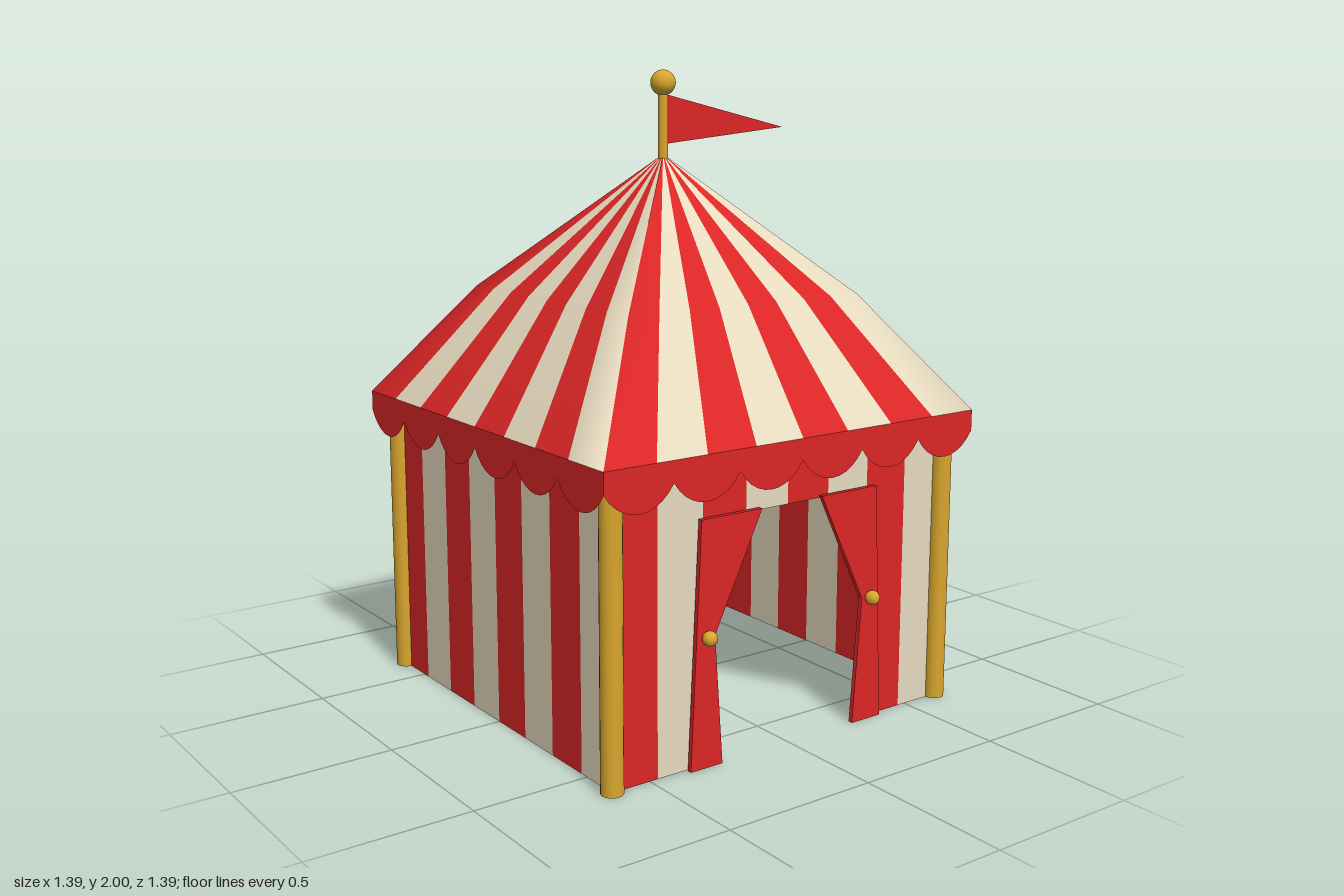
import * as THREE from 'three';

const mat = (name, color, side = THREE.FrontSide) => {
  const m = new THREE.MeshStandardMaterial({ color, side });
  m.name = name;
  return m;
};

export function createModel() {
  const red = mat('red canvas', 0xdc2626, THREE.DoubleSide);
  const cream = mat('cream canvas', 0xe8dcc0, THREE.DoubleSide);
  const gold = mat('gold', 0xd9a62e);

  const WALL = 0.63, EAVE = 0.695, EAVE_Y = 0.95, DOOR_Y = 0.74, STRIPES = 8;
  const tent = new THREE.Group();
  tent.name = 'tent';

  const add = (parent, name, geometry, material, x = 0, y = 0, z = 0) => {
    const mesh = new THREE.Mesh(geometry, material);
    mesh.name = name;
    mesh.position.set(x, y, z);
    parent.add(mesh);
    return mesh;
  };

  // Striped wall; the front one leaves the middle four stripes open as a doorway
  const makeWall = (parent, hasDoor) => {
    const w = 2 * WALL / STRIPES;
    for (let i = 0; i < STRIPES; i++) {
      const bottom = hasDoor && i >= 2 && i <= 5 ? DOOR_Y : 0;
      const h = EAVE_Y - bottom;
      add(parent, 'wallStripe', new THREE.PlaneGeometry(w, h), i % 2 ? cream : red,
        -WALL + (i + 0.5) * w, bottom + h / 2, WALL);
    }
  };

  // Scalloped valance hanging from the eave
  const valance = new THREE.Shape();
  const scallops = 6, sw = 2 * EAVE / scallops;
  valance.moveTo(-EAVE, EAVE_Y);
  valance.lineTo(-EAVE, 0.885);
  for (let i = 0; i < scallops; i++) {
    const x = -EAVE + i * sw;
    valance.bezierCurveTo(x + sw * 0.25, 0.792, x + sw * 0.75, 0.792, x + sw, 0.885);
  }
  valance.lineTo(EAVE, EAVE_Y);
  const valanceGeometry = new THREE.ShapeGeometry(valance, 10);

  // Four sides, each with a wall, a valance and a corner pole
  ['front', 'left', 'back', 'right'].forEach((name, k) => {
    const side = new THREE.Group();
    side.name = name + 'Side';
    side.rotation.y = k * Math.PI / 2;
    tent.add(side);
    makeWall(side, k === 0);
    add(side, 'valance', valanceGeometry, red, 0, 0, EAVE);
    add(side, 'cornerPole', new THREE.CylinderGeometry(0.034, 0.034, EAVE_Y, 20), gold,
      WALL, EAVE_Y / 2, WALL);
  });

  // Roof: square rings of stripe corners, smoothed round the ridges
  const rings = [[EAVE, EAVE_Y], [0.435, 1.31], [0.004, 1.735]];
  const count = 4 * STRIPES;
  const positions = [], index = [];
  for (const [half, y] of rings) {
    for (let i = 0; i < count; i++) {
      const a = Math.floor(i / STRIPES) * Math.PI / 2;
      const u = (i % STRIPES) / STRIPES * 2 - 1;
      positions.push(half * (u * Math.cos(a) + Math.sin(a)), y,
        half * (Math.cos(a) - u * Math.sin(a)));
    }
  }
  const roof = new THREE.BufferGeometry();
  for (let i = 0; i < count; i++) {
    const j = (i + 1) % count;
    roof.addGroup(index.length, 12, i % 2);
    for (let r = 0; r < 2; r++) {
      const a = r * count + i, b = r * count + j;
      index.push(a, b, b + count, a, b + count, a + count);
    }
  }
  roof.setAttribute('position', new THREE.Float32BufferAttribute(positions, 3));
  roof.setIndex(index);
  roof.computeVertexNormals();
  add(tent, 'roof', roof, [red, cream]);

  // Tied-back door flaps with gold knobs
  for (const s of [-1, 1]) {
    const outline = [[0.335, 0.75], [0.115, 0.75], [0.285, 0.4], [0.255, 0], [0.37, 0]];
    const flap = new THREE.Shape(outline.map(([x, y]) => new THREE.Vector2(s * x, y)));
    add(tent, s > 0 ? 'leftDoorFlap' : 'rightDoorFlap',
      new THREE.ExtrudeGeometry(flap, { depth: 0.015, bevelEnabled: false }), red, 0, 0, 0.637);
    add(tent, 'flapKnob', new THREE.SphereGeometry(0.023, 16, 12), gold, s * 0.315, 0.4, 0.667);
  }

  // Mast, ball and pennant
  add(tent, 'mast', new THREE.CylinderGeometry(0.016, 0.016, 0.27, 16), gold, 0, 1.825, 0);
  add(tent, 'mastBall', new THREE.SphereGeometry(0.04, 24, 16), gold, 0, 1.96, 0);
  const pennant = new THREE.Shape([[0.01, 1.77], [0.49, 1.815], [0.01, 1.925]]
    .map(([x, y]) => new THREE.Vector2(x, y)));
  add(tent, 'pennant', new THREE.ExtrudeGeometry(pennant, { depth: 0.012, bevelEnabled: false }),
    red, 0, 0, -0.017);

  return tent;
}
